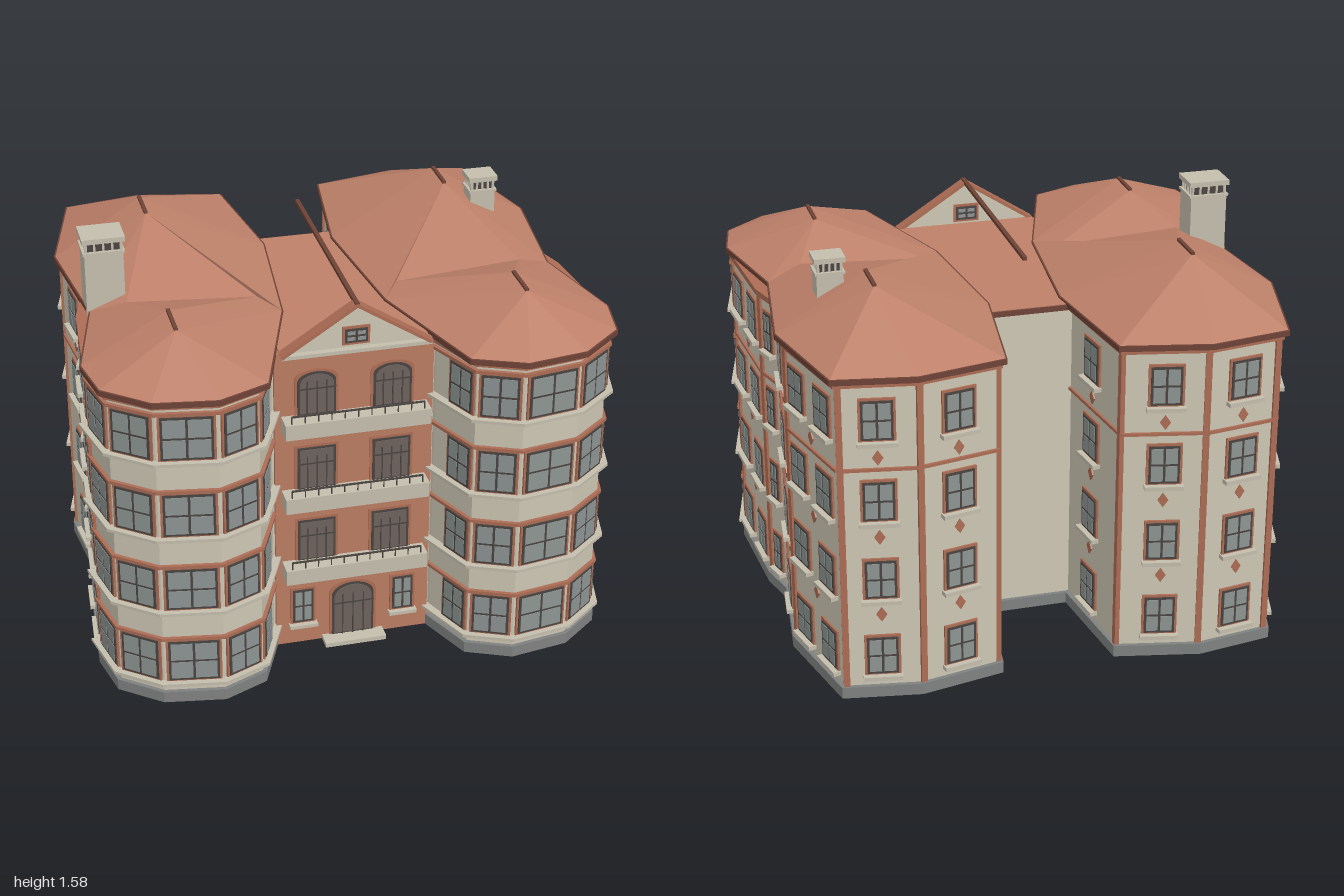
import * as THREE from 'three';
import { mergeGeometries } from 'three/addons/utils/BufferGeometryUtils.js';

const material = (name, color) => {
  const m = new THREE.MeshStandardMaterial({ color });
  m.name = name;
  return m;
};

// Wing wall corners [x, z], from the inner front round the outside to the inner back
const WALL = [[0.31, 0.57], [0.4, 0.78], [0.56, 0.85], [0.78, 0.815], [0.925, 0.7], [0.965, 0.52], [0.93, 0.1],
  [0.885, -0.05], [0.925, -0.42], [0.82, -0.82], [0.54, -0.865], [0.23, -0.8], [0.165, -0.31], [0.22, 0.28]];
// Roof eaves, in the same direction
const EAVES = [[0.2, 0.27], [0.37, 0.8], [0.56, 0.88], [0.79, 0.845], [0.95, 0.71], [0.985, 0.52], [0.89, 0.11],
  [0.95, -0.39], [0.84, -0.84], [0.54, -0.89], [0.21, -0.82], [0.14, -0.31]];
// Ridge ends 12-15 and valley ends 16-17
const PEAKS = [[0.65, 1.41, 0.57], [0.65, 1.41, 0.41], [0.6, 1.465, -0.32], [0.6, 1.465, -0.47],
  [0.76, 1.33, 0.155], [0.27, 1.3, 0.165]];
const ROOF_FACES = [[0, 1, 12], [0, 12, 13], [1, 2, 12], [2, 3, 12], [3, 4, 12], [4, 5, 12], [5, 6, 13], [5, 13, 12],
  [6, 16, 13], [16, 17, 13], [0, 13, 17], [6, 7, 14], [6, 14, 16], [7, 8, 15], [7, 15, 14], [8, 9, 15], [9, 10, 15],
  [10, 11, 15], [11, 14, 15], [11, 0, 14], [0, 17, 14], [17, 16, 14]];
const FLOOR = 0.315;
const EAVE_Y = 1.285;

// Moves a closed outline outward by d
function offset(pts, d) {
  const n = pts.length;
  const normal = (a, b) => {
    const dx = b[0] - a[0], dz = b[1] - a[1], l = Math.hypot(dx, dz);
    return [-dz / l, dx / l];
  };
  return pts.map((p, i) => {
    const a = normal(pts[(i + n - 1) % n], p), b = normal(p, pts[(i + 1) % n]);
    const k = d / Math.max(0.4, 1 + a[0] * b[0] + a[1] * b[1]);
    return [p[0] + (a[0] + b[0]) * k, p[1] + (a[1] + b[1]) * k];
  });
}

// Upright prism over an outline
function prism(pts, y0, y1) {
  const shape = new THREE.Shape(pts.map(([x, z]) => new THREE.Vector2(x, -z)));
  return new THREE.ExtrudeGeometry(shape, { depth: y1 - y0, bevelEnabled: false }).rotateX(-Math.PI / 2).translate(0, y0, 0);
}

const box = (w, h, d, x, y, z) => new THREE.BoxGeometry(w, h, d).translate(x, y, z);

// Door leaf with a rounded top of rise r
function arch(x, y, w, h, r, z, depth) {
  const s = new THREE.Shape();
  s.moveTo(-w / 2, 0);
  s.lineTo(w / 2, 0);
  s.lineTo(w / 2, h - r);
  if (r > 0) s.absellipse(0, h - r, w / 2, r, 0, Math.PI, false);
  else s.lineTo(-w / 2, h);
  return new THREE.ExtrudeGeometry(s, { depth, bevelEnabled: false, curveSegments: 10 }).translate(x, y, z);
}

export function createModel() {
  const M = {
    wall: material('cream wall', 0xcdc6b3),
    facade: material('terracotta wall', 0xb97b62),
    roof: material('clay roof', 0xbd8069),
    trim: material('terracotta trim', 0xac6c54),
    eave: material('dark eave', 0x6e4236),
    glass: material('window glass', 0x8c9492),
    frame: material('dark frame', 0x4a4440),
    door: material('door', 0x6c625d),
    stone: material('pale stone', 0xc3bdac),
    plinth: material('grey plinth', 0x7f8180),
  };
  const model = new THREE.Group();
  model.name = 'apartmentHouse';

  // Collects pieces by part name and merges each part into one mesh
  function builder(name) {
    const group = new THREE.Group(), parts = new Map();
    group.name = name;
    model.add(group);
    return {
      put(part, mat, geo, matrix) {
        const g = geo.index ? geo.toNonIndexed() : geo;
        g.deleteAttribute('uv');
        if (matrix) g.applyMatrix4(matrix);
        if (!parts.has(part)) parts.set(part, { mat, list: [] });
        parts.get(part).list.push(g);
      },
      finish() {
        for (const [part, { mat, list }] of parts) {
          const mesh = new THREE.Mesh(mergeGeometries(list), mat);
          mesh.name = part;
          group.add(mesh);
        }
      },
    };
  }

  // Framed window standing on y, on a wall plane at z = z0
  function window_(b, m, x, y, w, h, cols = 2, split = 0.5, z0 = 0) {
    b.put('windowSurrounds', M.trim, box(w + 0.018, h + 0.018, 0.016, x, y + h / 2, z0), m);
    b.put('windowFrames', M.frame, box(w, h, 0.024, x, y + h / 2, z0), m);
    const bar = 0.009, pw = (w - bar * (cols + 1)) / cols, ph = h - bar * 3;
    for (let c = 0; c < cols; c++) {
      const px = x - w / 2 + bar + pw / 2 + c * (pw + bar);
      const low = ph * split, high = ph - low;
      b.put('windowPanes', M.glass, box(pw, low, 0.028, px, y + bar + low / 2, z0), m);
      b.put('windowPanes', M.glass, box(pw, high, 0.028, px, y + bar * 2 + low + high / 2, z0), m);
    }
  }

  function wing(s) {
    const b = builder(s > 0 ? 'leftWing' : 'rightWing');
    const side = (pts) => { const q = pts.map(([x, z]) => [x * s, z]); return s > 0 ? q : q.reverse(); };
    b.put('walls', M.wall, prism(side(WALL), 0.04, 1.26));
    b.put('plinth', M.plinth, prism(side(offset(WALL, 0.016)), 0, 0.045));
    b.put('cornice', M.trim, prism(side(offset(WALL, 0.014)), 1.245, 1.268));

    // Local frame of wall i: x along it, z outward
    const place = (i) => {
      let a = WALL[i], c = WALL[(i + 1) % WALL.length];
      if (s < 0) [a, c] = [[-c[0], c[1]], [-a[0], a[1]]];
      const m = new THREE.Matrix4().makeRotationY(Math.atan2(a[1] - c[1], c[0] - a[0]));
      m.setPosition((a[0] + c[0]) / 2, 0, (a[1] + c[1]) / 2);
      return { m, len: Math.hypot(c[0] - a[0], c[1] - a[1]) };
    };

    // Glazed bay with sill and head rings on each floor
    const bay = WALL.slice(0, 6);
    for (let f = 0; f < 4; f++) {
      const y = 0.09 + f * FLOOR;
      b.put('baySills', M.stone, prism(side(offset(bay, 0.03)), y - 0.012, y));
      b.put('bayHeads', M.trim, prism(side(offset(bay, 0.014)), y + 0.182, y + 0.194));
      for (let i = 0; i < 5; i++) {
        const { m, len } = place(i);
        if (i > 0) window_(b, m, 0, y + 0.006, len - 0.035, 0.17, 2, 0.5);
        else window_(b, m, 0.04 * s, y + 0.006, 0.12, 0.17, 2, 0.5);
      }
    }

    // Side and back walls: [wall, window positions, width, diamond]
    const rows = [[5, [-0.11, 0.105], 0.115, true], [6, [0], 0.06, false], [7, [0], 0.115, true],
      [8, [-0.105, 0.105], 0.115, true], [9, [0], 0.115, true], [10, [0], 0.115, true], [11, [0], 0.115, true]];
    for (const [i, xs, w, diamond] of rows) {
      const { m, len } = place(i);
      b.put('stringCourse', M.trim, box(len, 0.012, 0.02, 0, 0.925, 0), m);
      for (let f = 0; f < 4; f++) {
        const y = 0.097 + f * FLOOR;
        for (const x of xs) {
          window_(b, m, x * s, y, w, 0.15);
          b.put('windowSills', M.stone, box(w + 0.03, 0.016, 0.06, x * s, y - 0.014, 0), m);
        }
        if (diamond && f < 3) {
          const g = new THREE.BoxGeometry(0.034, 0.034, 0.012).rotateZ(Math.PI / 4).scale(0.82, 1.2, 1);
          b.put('diamonds', M.trim, g.translate(0, y + 0.243, 0), m);
        }
      }
      // Corner pilaster at the start of the wall
      b.put('pilasters', M.trim, box(0.024, 1.21, 0.018, -s * (len / 2 - 0.008), 0.65, 0), m);
    }

    // Hipped roof on a thin eave board, with ridge caps
    b.put('eaveBoard', M.eave, prism(side(offset(EAVES, 0.006)), EAVE_Y - 0.022, EAVE_Y - 0.001));
    const verts = [...EAVES.map(([x, z]) => [x, EAVE_Y, z]), ...PEAKS];
    const pos = ROOF_FACES.flatMap((f) => (s > 0 ? f : [...f].reverse())
      .flatMap((k) => [verts[k][0] * s, verts[k][1], verts[k][2]]));
    const roof = new THREE.BufferGeometry();
    roof.setAttribute('position', new THREE.Float32BufferAttribute(pos, 3));
    roof.computeVertexNormals();
    b.put('roof', M.roof, roof);
    b.put('ridgeCaps', M.eave, box(0.014, 0.014, 0.16, 0.65 * s, 1.41, 0.49));
    b.put('ridgeCaps', M.eave, box(0.014, 0.014, 0.16, 0.6 * s, 1.465, -0.395));
    b.finish();
  }
  wing(1);
  wing(-1);

  // Centre block between the wings
  const c = builder('centreBlock');
  c.put('walls', M.wall, box(0.62, 1.24, 0.92, 0, 0.63, 0.1));
  c.put('plinth', M.plinth, box(0.5, 0.045, 0.92, 0, 0.0225, 0.085));
  c.put('facade', M.facade, box(0.6, 1.27, 0.03, 0, 0.635, 0.56));
  c.put('flatRoof', M.roof, box(0.56, 0.025, 0.95, 0, 1.2645, 0.1));
  c.put('backEave', M.eave, box(0.34, 0.02, 0.012, 0, 1.264, -0.377));
  c.put('doorstep', M.stone, box(0.24, 0.018, 0.07, 0, 0.009, 0.605));

  // Balconies with dark rails
  for (let f = 0; f < 3; f++) {
    const y = 0.318 + f * FLOOR;
    c.put('balconies', M.stone, box(0.55, 0.062, 0.075, 0, y + 0.031, 0.6125));
    c.put('rails', M.frame, box(0.5, 0.006, 0.006, 0, y + 0.092, 0.64));
    for (let k = 0; k <= 10; k++) c.put('rails', M.frame, box(0.004, 0.03, 0.004, -0.25 + k * 0.05, y + 0.077, 0.64));
  }

  // Doors: surround, dark frame, leaves and glazing bars
  function door(x, y, w, h, r) {
    c.put('doorSurrounds', M.trim, arch(x, y, w + 0.02, h + 0.01, r, 0.574, 0.006));
    c.put('doorFrames', M.frame, arch(x, y, w, h, r, 0.574, 0.009));
    c.put('doorLeaves', M.door, arch(x, y + 0.006, w - 0.018, h - 0.015, r, 0.574, 0.012));
    for (const k of [-0.25, 0, 0.25]) c.put('doorFrames', M.frame, box(0.005, h * 0.8, 0.004, x + k * w, y + h * 0.4, 0.586));
    c.put('doorFrames', M.frame, box(w, 0.006, 0.004, x, y + h * 0.62, 0.586));
  }
  for (const s of [-1, 1]) {
    for (let f = 0; f < 3; f++) door(s * 0.143, 0.38 + f * FLOOR, 0.145, 0.175, f === 2 ? 0.04 : 0);
    window_(c, null, s * 0.197, 0.1, 0.08, 0.145, 2, 0.5, 0.575);
    c.put('windowSills', M.stone, box(0.11, 0.014, 0.03, s * 0.197, 0.086, 0.588));
  }
  door(0, 0.018, 0.165, 0.23, 0.055);

  // Free-standing gable with raking cornices and a ridge pole behind it
  const gable = new THREE.Shape([new THREE.Vector2(-0.27, 1.265), new THREE.Vector2(0.27, 1.265), new THREE.Vector2(0, 1.445)]);
  c.put('gable', M.wall, new THREE.ExtrudeGeometry(gable, { depth: 0.02, bevelEnabled: false }).translate(0, 0, 0.57));
  window_(c, null, 0, 1.295, 0.085, 0.055, 2, 0.5, 0.58);
  window_(c, null, 0, 1.295, 0.085, 0.055, 2, 0.5, 0.572);
  window_(c, null, 0, 1.295, 0.085, 0.055, 2, 0.5, 0.588);
  for (const s of [-1, 1]) {
    const rake = box(0.335, 0.012, 0.05, 0, 0, 0).rotateZ(-s * Math.atan2(0.18, 0.28)).translate(s * 0.14, 1.358, 0.59);
    c.put('rakingCornice', M.trim, rake);
  }
  c.put('gableBase', M.stone, box(0.56, 0.014, 0.05, 0, 1.268, 0.59));
  c.put('ridgePole', M.eave, box(0.016, 0.014, 0.93, 0, 1.45, 0.145));
  c.finish();

  // Chimneys with an open, pillared head
  function chimney(name, x, z, w, d, y0, y1) {
    const b = builder(name), neck = y1 - 0.06;
    b.put('shaft', M.stone, box(w, neck - y0, d, x, (neck + y0) / 2, z));
    b.put('flue', M.frame, box(w - 0.02, 0.05, d - 0.02, x, y1 - 0.04, z));
    b.put('cap', M.stone, box(w + 0.016, 0.02, d + 0.01, x, y1 - 0.01, z));
    b.put('collar', M.stone, box(w + 0.012, 0.01, d + 0.008, x, neck, z));
    for (let k = 0; k <= 4; k++) for (const e of [-1, 1]) {
      const t = k / 4 - 0.5;
      b.put('pillars', M.stone, box(0.008, 0.05, 0.008, x + t * (w - 0.012), y1 - 0.04, z + e * (d / 2 - 0.008)));
      b.put('pillars', M.stone, box(0.008, 0.05, 0.008, x + e * (w / 2 - 0.008), y1 - 0.04, z + t * (d - 0.012)));
    }
    b.finish();
  }
  chimney('tallChimney', -0.828, 0.045, 0.145, 0.122, 1.2, 1.575);
  chimney('smallChimney', 0.728, -0.26, 0.1, 0.088, 1.34, 1.52);
  return model;
}
